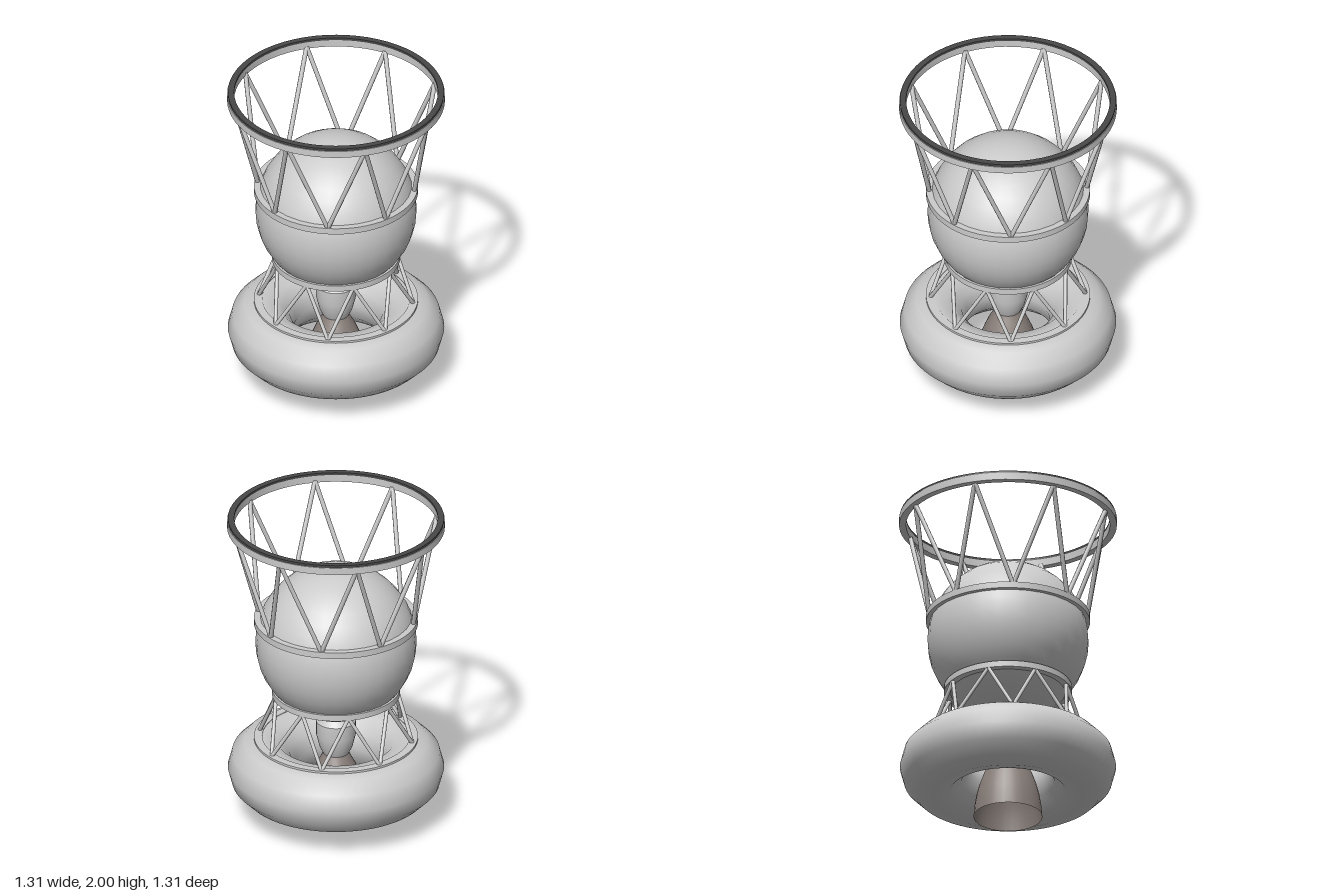
import * as THREE from 'three';
import { toCreasedNormals } from 'three/addons/utils/BufferGeometryUtils.js';

export function createModel() {
  const model = new THREE.Group();
  const grey = new THREE.MeshStandardMaterial({ color: 0xcccccc });
  const dark = new THREE.MeshStandardMaterial({ color: 0x484848 });
  const brown = new THREE.MeshStandardMaterial({ color: 0x8a807b, side: THREE.DoubleSide });

  const add = (name, geometry, material = grey, y = 0) => {
    const mesh = new THREE.Mesh(geometry, material);
    mesh.name = name;
    mesh.position.y = y;
    model.add(mesh);
    return mesh;
  };
  const lathe = (points, segments = 64) =>
    new THREE.LatheGeometry(points.map(([r, y]) => new THREE.Vector2(r, y)), segments);

  // Flat ring with a rectangular section
  const ring = (name, inner, outer, y0, y1, material) =>
    add(name, toCreasedNormals(
      lathe([[outer, y0], [outer, y1], [inner, y1], [inner, y0], [outer, y0]]), 0.7), material);

  // Zigzag truss: low nodes every 45 degrees, high nodes halfway between
  const truss = (name, r0, y0, r1, y1, thickness) => {
    const group = new THREE.Group();
    group.name = name;
    const node = (r, y, a) => new THREE.Vector3(r * Math.sin(a), y, r * Math.cos(a));
    for (let i = 0; i < 8; i++) {
      const a = i * Math.PI / 4;
      for (const side of [-1, 1]) {
        const low = node(r0, y0, a);
        const high = node(r1, y1, a + side * Math.PI / 8);
        const dir = high.clone().sub(low);
        const strut = new THREE.Mesh(
          new THREE.CylinderGeometry(thickness, thickness, dir.length(), 8), grey);
        strut.name = 'strut';
        strut.position.copy(low).add(high).multiplyScalar(0.5);
        strut.quaternion.setFromUnitVectors(new THREE.Vector3(0, 1, 0), dir.normalize());
        group.add(strut);
      }
    }
    model.add(group);
  };

  // Upper adapter
  ring('topRing', 0.615, 0.657, 1.94, 1.985);
  ring('topSeal', 0.615, 0.652, 1.985, 2.0, dark);
  truss('upperTruss', 0.475, 1.325, 0.622, 1.95, 0.014);

  // Spherical tank with its two collars
  add('sphereTank', new THREE.SphereGeometry(0.487, 32, 20), grey, 1.17);
  ring('upperCollar', 0.45, 0.495, 1.295, 1.335);
  ring('lowerCollar', 0.345, 0.387, 0.822, 0.86);

  // Lower truss standing on the ring tank
  truss('lowerTruss', 0.47, 0.525, 0.37, 0.83, 0.012);
  ring('deckRing', 0.445, 0.495, 0.515, 0.535);
  add('ringTank', new THREE.TorusGeometry(0.453, 0.2, 12, 64).rotateX(-Math.PI / 2), grey, 0.333);

  // Engine body and open nozzle
  add('engineBody', toCreasedNormals(lathe([
    [0, 0.42], [0.075, 0.42], [0.1, 0.47], [0.12, 0.55], [0.12, 0.64], [0.085, 0.69], [0, 0.69],
  ], 32), 0.6));
  add('nozzle', lathe([
    [0.208, 0], [0.202, 0.07], [0.19, 0.14], [0.172, 0.21], [0.147, 0.28],
    [0.118, 0.35], [0.09, 0.4], [0.072, 0.44],
  ], 32), brown);

  return model;
}
